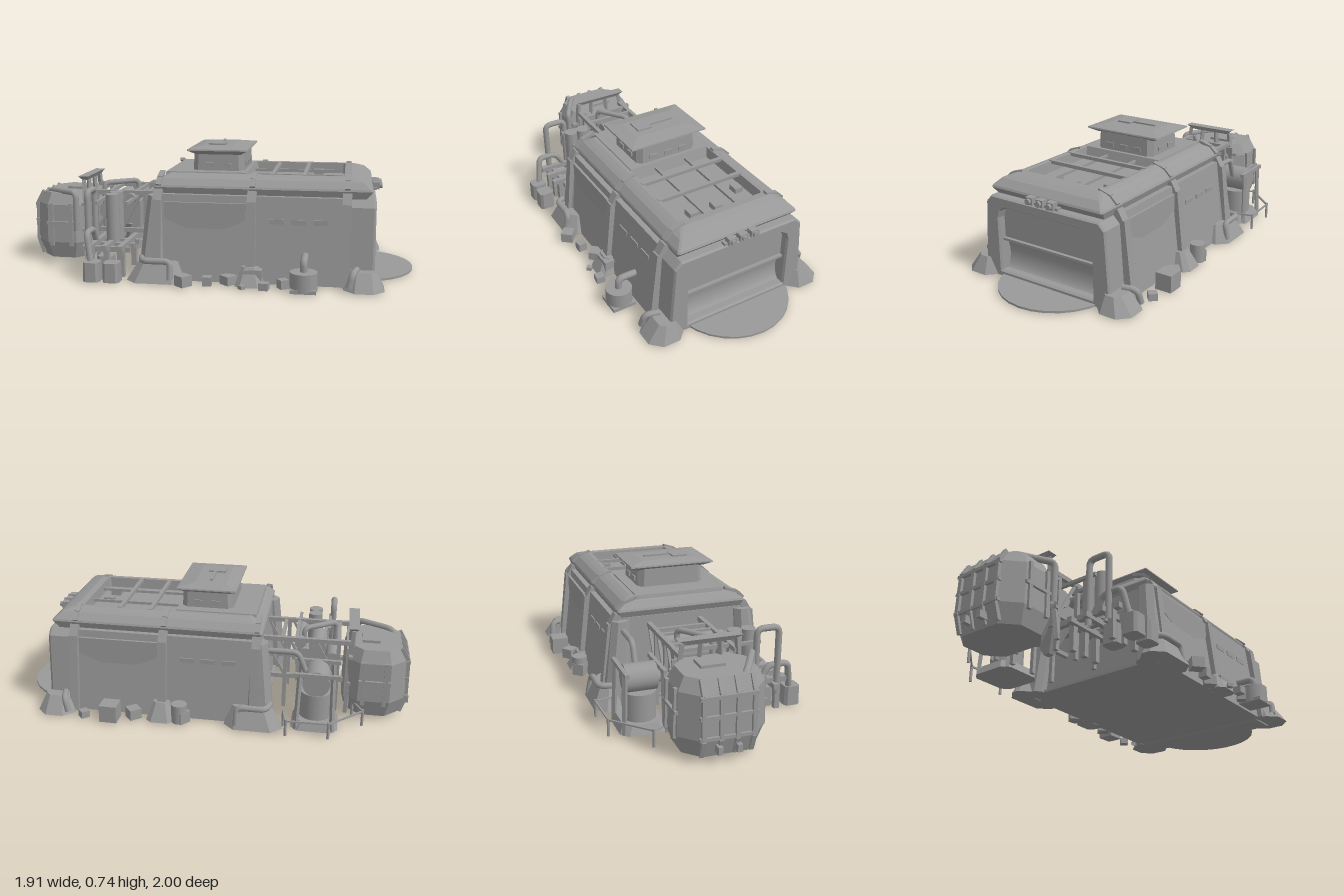
import * as THREE from 'three';

const mat = new THREE.MeshStandardMaterial({ color: 0x999999, side: THREE.DoubleSide });
const flat = new THREE.MeshStandardMaterial({ color: 0x999999, side: THREE.DoubleSide, flatShading: true });
const V = (x, y, z) => new THREE.Vector3(x, y, z);
const shapePoints = pts => pts.map(p => new THREE.Vector2(...p));

export function createModel() {
  const model = new THREE.Group();
  model.name = 'outpost';
  model.rotation.y = Math.PI / 4; // the outpost stands diagonally; +z is its gate end
  const hall = new THREE.Group(), yard = new THREE.Group();
  hall.name = 'hall';
  hall.position.x = -0.035;
  yard.name = 'yard';
  model.add(hall, yard);
  let target = hall;

  const add = (name, geo, x = 0, y = 0, z = 0, m = flat) => {
    const o = new THREE.Mesh(geo, m);
    o.name = name;
    o.position.set(x, y, z);
    target.add(o);
    return o;
  };
  const box = (name, w, h, d, x, y, z, ry = 0) => {
    const o = add(name, new THREE.BoxGeometry(w, h, d), x, y, z);
    o.rotation.y = ry;
    return o;
  };
  const cyl = (name, r, h, x, y, z, n = 20) =>
    add(name, new THREE.CylinderGeometry(r, r, h, n), x, y, z, n > 8 ? mat : flat);
  // straight bar between two points
  const beam = (name, a, b, w, h = w) => {
    const o = box(name, w, h, a.distanceTo(b), 0, 0, 0);
    o.position.copy(a).lerp(b, 0.5);
    o.quaternion.setFromRotationMatrix(new THREE.Matrix4().lookAt(b, a, V(0, 1, 0)));
    return o;
  };
  // pipe with rounded elbows
  const pipe = (name, pts, r) => {
    const path = new THREE.CurvePath();
    const cut = (p, q) => p.clone().lerp(q, Math.min(0.45, 0.035 / p.distanceTo(q)));
    for (let i = 1; i < pts.length; i++) {
      const s = i > 1 ? cut(pts[i - 1], pts[i]) : pts[0];
      const e = i < pts.length - 1 ? cut(pts[i], pts[i - 1]) : pts[i];
      path.add(new THREE.LineCurve3(s, e));
      if (i < pts.length - 1) path.add(new THREE.QuadraticBezierCurve3(e, pts[i], cut(pts[i], pts[i + 1])));
    }
    return add(name, new THREE.TubeGeometry(path, pts.length * 12, r, 10), 0, 0, 0, mat);
  };
  // stacked chamfered rectangles: [cx, cz, halfW, halfD, y, chamfer]
  const loft = (name, rings) => {
    const pos = [], idx = [];
    for (const [cx, cz, w, d, y, c = 0.001] of rings)
      for (const [a, b] of [[w, d - c], [w, c - d], [w - c, -d], [c - w, -d], [-w, c - d], [-w, d - c], [c - w, d], [w - c, d]])
        pos.push(cx + a, y, cz + b);
    for (let r = 0; r < rings.length - 1; r++)
      for (let i = 0; i < 8; i++) {
        const a = r * 8 + i, b = r * 8 + (i + 1) % 8;
        idx.push(a, b, a + 8, b, b + 8, a + 8);
      }
    const t = (rings.length - 1) * 8;
    for (let i = 1; i < 7; i++) idx.push(0, i + 1, i, t, t + i, t + i + 1);
    const geo = new THREE.BufferGeometry();
    geo.setAttribute('position', new THREE.Float32BufferAttribute(pos, 3));
    geo.setIndex(idx);
    const split = geo.toNonIndexed();
    split.computeVertexNormals();
    return add(name, split);
  };
  // ground-plan position to the diagonal axes
  const at = (x, y, z) => V((x - z) / Math.SQRT2, y, (x + z) / Math.SQRT2);

  // Floor slab and rounded apron
  box('floorSlab', 0.9, 0.014, 1.26, 0, 0.007, 0.2);
  cyl('apron', 0.34, 0.012, 0.015, 0.006, 0.73, 28);

  // Walls and hipped roof with a sunken deck
  loft('walls', [[0, 0.15, 0.452, 0.56, 0], [0, 0.15, 0.395, 0.54, 0.48]]);
  loft('roofEdge', [[0, 0.2, 0.36, 0.58, 0.47], [0, 0.21, 0.375, 0.61, 0.515, 0.01], [0, 0.21, 0.37, 0.605, 0.526, 0.01],
    [0, 0.205, 0.335, 0.57, 0.562, 0.01], [0, 0.2, 0.31, 0.54, 0.574, 0.01], [0, 0.19, 0.28, 0.51, 0.584, 0.01],
    [0, 0.18, 0.255, 0.48, 0.582, 0.01], [0, 0.18, 0.25, 0.475, 0.52, 0.01]]);
  loft('rearRoof', [[0, -0.12, 0.27, 0.25, 0.51], [0, -0.12, 0.255, 0.23, 0.588]]);
  for (const z of [0.26, 0.44]) box('roofBeam', 0.54, 0.02, 0.022, 0, 0.577, z);
  for (const x of [-0.1, 0.1]) box('roofRunner', 0.012, 0.015, 0.54, x, 0.555, 0.38);
  for (const [x, z, w] of [[-0.13, 0.57, 0.07], [0.2, 0.5, 0.05], [0.01, 0.58, 0.05]])
    box('deckBox', w, 0.03, 0.06, x, 0.535, z);

  // Turret with slit windows and a flared lid
  loft('turret', [[0, -0.06, 0.195, 0.15, 0.57, 0.03], [0, -0.06, 0.19, 0.145, 0.69, 0.03]]);
  loft('turretLid', [[0, -0.06, 0.2, 0.13, 0.682], [0, -0.06, 0.246, 0.172, 0.706],
    [0, -0.06, 0.244, 0.17, 0.714], [0, -0.07, 0.16, 0.09, 0.728]]);
  box('lidHatch', 0.09, 0.014, 0.1, -0.08, 0.73, -0.08);
  box('lidBar', 0.2, 0.012, 0.016, 0.02, 0.731, -0.07);
  for (const x of [-0.095, 0, 0.095]) box('turretWindow', 0.05, 0.025, 0.012, x, 0.62, 0.089);
  for (const s of [-1, 1]) for (const z of [-0.11, -0.01]) box('turretWindow', 0.012, 0.025, 0.05, s * 0.194, 0.62, z);

  // Gate frame, upper door panel and hollow rolled shutter
  const face = new THREE.Shape(shapePoints([[-0.425, 0], [-0.395, 0.43], [-0.36, 0.465], [0.36, 0.465], [0.395, 0.43], [0.425, 0]]));
  face.holes.push(new THREE.Path(shapePoints([[-0.325, 0.025], [0.325, 0.025], [0.325, 0.35], [0.31, 0.395], [0.27, 0.42],
    [-0.27, 0.42], [-0.31, 0.395], [-0.325, 0.35]])));
  add('gateFrame', new THREE.ExtrudeGeometry(face, { depth: 0.14, bevelThickness: 0.012, bevelSize: 0.008, bevelSegments: 1 }), 0, 0, 0.685);
  box('gatePanel', 0.68, 0.22, 0.02, 0, 0.32, 0.78);
  box('gateRail', 0.66, 0.014, 0.03, 0, 0.215, 0.795);
  const curl = new THREE.CylinderGeometry(0.095, 0.095, 0.66, 24, 1, true, Math.PI / 2, Math.PI);
  curl.scale(1, 1, 0.5);
  add('rolledShutter', curl, 0, 0.12, 0.805, mat).rotation.z = Math.PI / 2;
  box('gateSill', 0.66, 0.03, 0.06, 0, 0.015, 0.79);
  for (const x of [-0.07, 0, 0.07]) {
    box('gateLamp', 0.045, 0.04, 0.04, x, 0.505, 0.84);
    cyl('lampLens', 0.016, 0.02, x, 0.505, 0.865).rotation.x = Math.PI / 2;
  }
  box('lampRail', 0.22, 0.014, 0.03, 0, 0.49, 0.83);

  // Both long sides: ribs, boots, awnings and windows
  for (const s of [-1, 1]) {
    for (const z of [-0.37, 0.16, 0.68]) {
      beam('wallRib', V(s * 0.455, 0, z), V(s * 0.405, 0.45, z), 0.05);
      beam('ribHook', V(s * 0.415, 0.42, z), V(s * 0.37, 0.5, z), 0.05, 0.04);
      beam('roofRib', V(s * 0.375, 0.526, z), V(s * 0.335, 0.564, z), 0.03, 0.016);
      beam('roofRib', V(s * 0.335, 0.564, z), V(s * 0.26, 0.588, z), 0.03, 0.016);
    }
    loft('middleBoot', [[s * 0.47, 0.16, 0.07, 0.08, 0, 0.03], [s * 0.45, 0.16, 0.035, 0.045, 0.1, 0.02]]);
    loft('frontBoot', [[s * 0.45, 0.78, 0.11, 0.11, 0, 0.06], [s * 0.435, 0.78, 0.055, 0.07, 0.095, 0.03]]);
    loft('rearBoot', [[s * 0.455, -0.37, 0.085, 0.165, 0, 0.06], [s * 0.44, -0.36, 0.05, 0.11, 0.11, 0.04]]);
    loft('rearPillar', [[s * 0.4, -0.4, 0.07, 0.08, 0, 0.03], [s * 0.36, -0.38, 0.05, 0.05, 0.47, 0.03]]);
    pipe('bootPipe', [V(s * 0.53, 0.02, 0.7), V(s * 0.52, 0.1, 0.72), V(s * 0.44, 0.1, 0.74)], 0.018);
    pipe('rearBootPipe', [V(s * 0.52, 0.02, -0.28), V(s * 0.5, 0.12, -0.28), V(s * 0.5, 0.12, -0.44), V(s * 0.42, 0.12, -0.46)], 0.018);
    const covered = s < 0 ? -0.1 : 0.42, open = s < 0 ? 0.42 : -0.1;
    // cloth sagging between two ribs
    const sag = new THREE.Shape();
    sag.moveTo(-0.23, 0.44);
    sag.lineTo(-0.23, 0.35);
    sag.quadraticCurveTo(0, 0.215, 0.23, 0.35);
    sag.lineTo(0.23, 0.44);
    const awning = add('awning', new THREE.ExtrudeGeometry(sag, { depth: 0.015, bevelEnabled: false }), s * 0.402, 0, covered);
    awning.rotation.y = s * Math.PI / 2;
    for (const i of [-1, 0, 1]) box('windowSlit', 0.016, 0.028, 0.08, s * 0.408, 0.345, open + i * 0.12);
  }

  // Loose crates along the walls: plan x, z, size, height
  target = yard;
  for (const [x, z, w, h] of [[0.35, -0.3, 0.07, 0.07], [0.43, -0.19, 0.07, 0.05], [0.55, -0.1, 0.07, 0.06], [0.67, -0.04, 0.1, 0.1],
    [0.78, 0.07, 0.05, 0.04], [-0.55, 0.27, 0.07, 0.06], [-0.44, 0.34, 0.05, 0.05], [-0.33, 0.39, 0.07, 0.05],
    [-0.22, 0.47, 0.1, 0.09], [-0.24, 0.59, 0.05, 0.04], [-0.14, 0.63, 0.05, 0.05], [-0.33, 0.51, 0.03, 0.02]]) {
    const p = at(x, h / 2, z);
    box('crate', w, h, w, p.x, p.y, p.z, x * 7);
  }
  const t = at(-0.08, 0, 0.73);
  box('tankPad', 0.14, 0.02, 0.14, t.x, 0.01, t.z);
  cyl('sideTank', 0.075, 0.1, t.x, 0.055, t.z);
  pipe('sideTankPipe', [V(t.x, 0.1, t.z), V(t.x, 0.165, t.z), V(-0.46, 0.165, t.z)], 0.02);
  const drum = at(0.36, 0.055, -0.29);
  cyl('sideDrum', 0.045, 0.11, drum.x, drum.y, drum.z);

  // Rear trestle joining the hall and the tail cabin
  for (const x of [-0.14, 0.16]) {
    beam('trestleTop', V(x, 0.43, -0.38), V(x, 0.43, -0.9), 0.025);
    beam('trestleLow', V(x, 0.2, -0.38), V(x, 0.2, -0.9), 0.025);
    for (const z of [-0.52, -0.67, -0.82]) {
      beam('trestlePost', V(x, 0, z), V(x, 0.43, z), 0.022);
      beam('trestleBrace', V(x, 0.2, z), V(x, 0.43, z + 0.13), 0.014);
    }
  }
  for (const z of [-0.5, -0.58, -0.74, -0.82]) box('trestleTie', 0.32, 0.02, 0.02, 0.01, 0.43, z);
  box('machineBody', 0.17, 0.16, 0.16, 0.04, 0.28, -0.66);
  cyl('machineRoller', 0.05, 0.2, 0.03, 0.37, -0.7).rotation.z = Math.PI / 2;
  cyl('machineDrum', 0.045, 0.2, 0.03, 0.3, -0.79).rotation.z = Math.PI / 2;
  cyl('machineShaft', 0.03, 0.34, -0.02, 0.4, -0.6).rotation.z = Math.PI / 2;
  pipe('machinePipe', [V(0.08, 0.36, -0.62), V(0.08, 0.47, -0.62), V(-0.05, 0.47, -0.8), V(-0.05, 0.2, -0.8)], 0.016);
  loft('hopper', [[0.02, -0.7, 0.02, 0.02, 0.06], [0.02, -0.7, 0.09, 0.07, 0.22]]);
  // tall gantry before the cabin
  loft('gantryCanopy', [[0.01, -0.9, 0.13, 0.015, 0.495], [0.01, -0.9, 0.17, 0.03, 0.522]]);
  box('gantryScreen', 0.36, 0.3, 0.012, 0.02, 0.26, -0.87);
  for (const x of [-0.2, -0.07, 0.08, 0.22]) beam('gantryPost', V(x, 0.02, -0.88), V(x * 0.7, 0.5, -0.9), 0.022);
  for (const y of [0.2, 0.36]) box('gantryBar', 0.42, 0.018, 0.02, 0.01, y, -0.89);

  // Pump rack at the rear right
  for (const x of [-0.23, -0.31]) cyl('rackTank', 0.04, 0.28, x, 0.31, -0.67, 16);
  for (const x of [-0.22, -0.32, -0.42]) beam('rackRail', V(x, 0.15, -0.54), V(x, 0.15, -0.82), 0.03);
  for (const z of [-0.58, -0.67, -0.76]) {
    beam('rackBar', V(-0.1, 0.17, z), V(-0.5, 0.17, z), 0.03);
    beam('rackUpperBar', V(-0.1, 0.4, z), V(-0.34, 0.4, z), 0.018);
    for (const x of [-0.2, -0.45]) beam('rackPost', V(x, 0, z), V(x, 0.18, z), 0.03);
  }
  for (const [x, z] of [[-0.9, -0.12], [-0.82, -0.04], [-0.77, -0.2]]) {
    const p = at(x, 0, z);
    loft('pumpBox', [[p.x, p.z, 0.046, 0.046, 0, 0.015], [p.x, p.z, 0.044, 0.044, 0.11, 0.015]]);
  }
  pipe('tallPipe', [at(-0.86, 0.1, -0.24), at(-0.86, 0.48, -0.24), at(-0.77, 0.48, -0.33), at(-0.77, 0.1, -0.33)], 0.018);
  pipe('lowPipe', [at(-0.9, 0.1, -0.14), at(-0.9, 0.26, -0.18), at(-0.82, 0.26, -0.26), at(-0.78, 0.17, -0.3)], 0.018);

  // Pressure vessel on a cradle at the rear left
  loft('vesselBase', [[0.32, -0.71, 0.13, 0.13, 0, 0.04], [0.32, -0.71, 0.11, 0.11, 0.05, 0.04]]);
  cyl('vessel', 0.09, 0.15, 0.32, 0.125, -0.71, 24);
  cyl('upperVessel', 0.075, 0.17, 0.32, 0.27, -0.71, 24).rotation.z = Math.PI / 2;
  for (const sx of [-1, 1]) {
    for (const sz of [-1, 1])
      beam('cradlePost', V(0.32 + sx * 0.11, 0, -0.71 + sz * 0.1), V(0.32 + sx * 0.1, 0.34, -0.71 + sz * 0.09), 0.02);
    beam('cradleBar', V(0.32 + sx * 0.1, 0.33, -0.84), V(0.32 + sx * 0.1, 0.33, -0.58), 0.022);
  }
  pipe('vesselPipe', [V(0.32, 0.3, -0.65), V(0.32, 0.42, -0.6), V(0.32, 0.42, -0.4)], 0.016);
  pipe('linkPipe', [V(0.25, 0.25, -0.71), V(0.1, 0.25, -0.71)], 0.022);

  // Low guard rail around the vessel
  const rail = [[-0.5, -0.8], [-0.46, -0.92], [-0.2, -0.92], [-0.03, -0.76], [-0.09, -0.67]].map(([x, z]) => at(x, 0.09, z));
  rail.forEach((p, i) => {
    cyl('railPost', 0.008, 0.1, p.x, 0.05, p.z, 8);
    if (i) beam('guardRail', rail[i - 1], p, 0.009);
  });

  // Tail cabin
  loft('cabin', [[0.03, -1.03, 0.2, 0.15, 0.02, 0.08], [0.03, -1.03, 0.23, 0.18, 0.12, 0.09],
    [0.03, -1.03, 0.225, 0.175, 0.35, 0.09], [0.03, -1.03, 0.19, 0.14, 0.42, 0.07]]);
  box('cabinHatch', 0.13, 0.02, 0.1, 0.05, 0.425, -1.0);
  for (const x of [-0.1, -0.015, 0.07, 0.16]) {
    beam('cabinRib', V(x, 0.03, -1.185), V(x, 0.12, -1.215), 0.022);
    beam('cabinRib', V(x, 0.12, -1.215), V(x, 0.35, -1.21), 0.022);
    beam('cabinRib', V(x, 0.35, -1.21), V(x, 0.42, -1.17), 0.022);
  }
  for (const y of [0.13, 0.24, 0.34]) box('cabinBand', 0.3, 0.018, 0.02, 0.03, y, -1.212);
  for (const s of [-1, 1]) {
    for (const z of [-1.09, -0.97]) beam('cabinSideRib', V(0.03 + s * 0.232, 0.1, z), V(0.03 + s * 0.228, 0.36, z), 0.022);
    box('cabinSideBand', 0.02, 0.018, 0.18, 0.03 + s * 0.232, 0.24, -1.03);
    box('towHook', 0.025, 0.04, 0.06, 0.03 + s * 0.05, 0.07, -1.21);
  }
  pipe('cabinPipe', [V(-0.21, 0.2, -0.93), V(-0.21, 0.43, -0.93), V(-0.1, 0.43, -1.12), V(-0.05, 0.38, -1.17)], 0.018);
  const outpost = new THREE.Group();
  outpost.add(model);
  return outpost;
}
